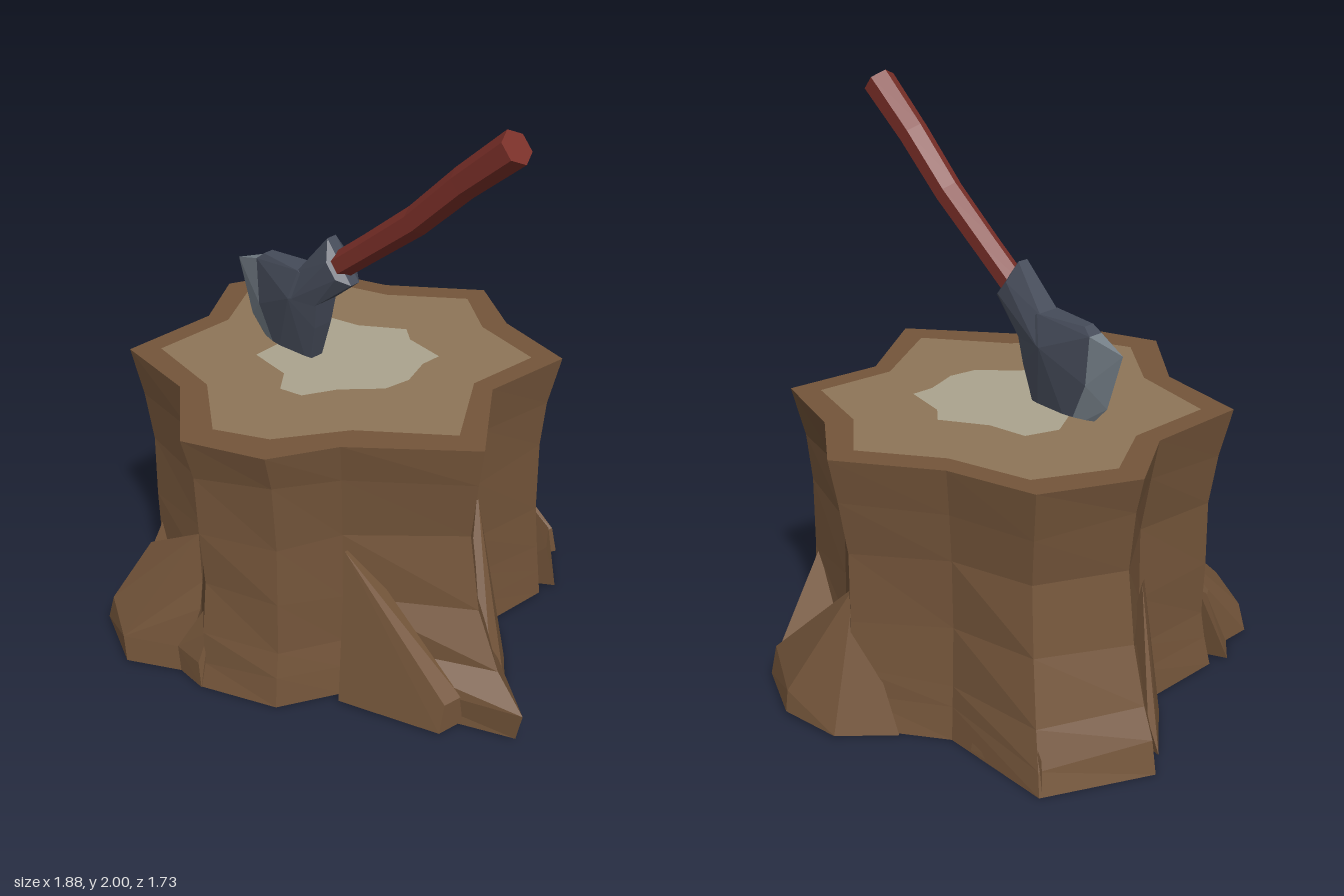
import * as THREE from 'three';
import { ConvexGeometry } from 'three/addons/geometries/ConvexGeometry.js';

const flat = (name, color) => {
  const m = new THREE.MeshStandardMaterial({ color, flatShading: true });
  m.name = name;
  return m;
};

// Closed skin over stacked rings of points, with optional fan caps
function loft(rings, capStart, capEnd) {
  const pos = [];
  const tri = (...pts) => pts.forEach((p) => pos.push(p.x, p.y, p.z));
  const n = rings[0].length;
  for (let j = 0; j < rings.length - 1; j++) {
    for (let k = 0; k < n; k++) {
      const m = (k + 1) % n;
      const [a, b, c, d] = [rings[j][k], rings[j][m], rings[j + 1][m], rings[j + 1][k]];
      tri(a, c, b);
      tri(a, d, c);
    }
  }
  const cap = (ring, flip) => {
    const mid = ring.reduce((s, p) => s.add(p), new THREE.Vector3()).divideScalar(n);
    ring.forEach((p, k) => {
      const q = ring[(k + 1) % n];
      flip ? tri(mid, q, p) : tri(mid, p, q);
    });
  };
  if (capStart) cap(rings[0], false);
  if (capEnd) cap(rings[rings.length - 1], true);
  const g = new THREE.BufferGeometry();
  g.setAttribute('position', new THREE.Float32BufferAttribute(pos, 3));
  g.computeVertexNormals();
  return g;
}

const hull = (pts) => new ConvexGeometry(pts.map((p) => new THREE.Vector3(...p)));
// Mirrors points [x, y, halfThickness] across the axe's own plane
const twoSided = (pts) => pts.flatMap(([x, y, z]) => (z ? [[x, y, z], [x, y, -z]] : [[x, y, 0]]));

// Outlines of the cut face as [x, z]
const RIM = [[-0.19, -0.75], [0.07, -0.63], [0.39, -0.6], [0.41, -0.26], [0.69, 0.02], [0.4, 0.36], [0.32, 0.59],
  [0.07, 0.74], [-0.23, 0.56], [-0.57, 0.56], [-0.63, 0.2], [-0.82, -0.01], [-0.73, -0.34], [-0.45, -0.48]];
const WOOD = [[-0.17, -0.65], [0.04, -0.54], [0.32, -0.52], [0.34, -0.24], [0.57, 0.02], [0.34, 0.27], [0.23, 0.51],
  [0.07, 0.62], [-0.19, 0.48], [-0.51, 0.47], [-0.56, 0.16], [-0.72, -0.03], [-0.64, -0.3], [-0.38, -0.43]];
const CORE = [[-0.11, -0.31], [-0.04, -0.27], [0.12, -0.27], [0.13, -0.19], [0.19, -0.08], [0.19, 0.02], [0.1, 0.15],
  [0.06, 0.27], [-0.02, 0.3], [-0.1, 0.23], [-0.27, 0.23], [-0.3, 0.09], [-0.39, -0.02], [-0.37, -0.14], [-0.24, -0.19]];

// Roots, each the hull of a few corners
const ROOTS = {
  frontRoot: [[-0.5, 0, 0.5], [-0.46, 0.01, 0.79], [-0.2, 0.01, 0.86], [-0.05, 0, 0.73], [-0.43, 0.11, 0.78], [-0.21, 0.11, 0.86],
    [-0.06, 0.1, 0.73], [-0.47, 0.25, 0.59], [-0.02, 0.36, 0.64], [-0.22, 0.4, 0.53], [-0.01, 0.26, 0.66]],
  frontRootSide: [[-0.57, 0.01, 0.61], [-0.46, 0, 0.7], [-0.47, 0.24, 0.58], [-0.52, 0.3, 0.5], [-0.4, 0, 0.5]],
  frontToe: [[0, 0.26, 0.65], [0.07, 0.22, 0.68], [0.07, 0, 0.72], [-0.06, 0, 0.73], [-0.06, 0.1, 0.73], [0.06, 0.1, 0.72], [0, 0, 0.5]],
  leftFrontRoot: [[0.38, 0.58, 0.33], [0.36, 0.57, 0.27], [0.42, 0.01, 0.39], [0.54, 0.3, 0.27], [0.75, 0.12, 0.2],
    [0.75, 0.01, 0.22], [0.75, 0.12, 0.13], [0.75, 0.01, 0.12], [0.36, 0, 0.2]],
  leftBackRoot: [[0.41, 0.58, -0.22], [0.37, 0.55, -0.17], [0.43, 0.01, -0.31], [0.47, 0.01, -0.3], [0.58, 0.01, -0.22],
    [0.72, 0.01, -0.1], [0.67, 0.13, -0.07], [0.5, 0.35, -0.14], [0.36, 0, -0.1]],
  backRoot: [[-0.15, 0.5, -0.66], [-0.22, 0.01, -0.79], [-0.02, 0.02, -0.87], [-0.02, 0.1, -0.86], [0.09, 0.09, -0.83],
    [0.23, 0.01, -0.81], [0.22, 0.12, -0.79], [0.06, 0.28, -0.68], [0.1, 0, -0.5], [-0.32, 0, -0.6]],
  backRootSide: [[0.2, 0.01, -0.8], [0.21, 0.12, -0.78], [0.39, 0.01, -0.65], [0.38, 0.2, -0.6], [0.34, 0.38, -0.55], [0.1, 0.2, -0.6], [0.2, 0, -0.5]],
  rightFrontRoot: [[-0.66, 0.52, 0.13], [-0.62, 0.5, 0.17], [-0.7, 0.33, 0.14], [-0.68, 0.01, 0.21], [-0.6, 0.01, 0.24],
    [-0.88, 0.01, 0.05], [-0.83, 0.12, 0.04], [-0.6, 0, 0.05]],
  rightBackRoot: [[-0.84, 0.01, -0.38], [-0.82, 0.12, -0.37], [-0.53, 0.01, -0.45], [-0.53, 0.12, -0.43], [-0.6, 0.36, -0.36], [-0.5, 0, -0.3]],
};

function outline(points, hole) {
  const toShape = (list, Type) => new Type(list.map(([x, z]) => new THREE.Vector2(x, -z)));
  const shape = toShape(points, THREE.Shape);
  if (hole) shape.holes.push(toShape(hole, THREE.Path));
  return new THREE.ShapeGeometry(shape).rotateX(-Math.PI / 2).translate(0, 1, 0);
}

function trunkRings() {
  let seed = 7;
  const jitter = () => ((seed = (seed * 16807) % 2147483647) / 2147483647 - 0.5) * 0.025;
  const levels = [0, 0.1, 0.22, 0.4, 0.64, 0.85, 1];
  const plain = [0.97, 0.95, 0.93, 0.92, 0.92, 0.95, 1];
  const flared = { 4: [1.32, 1.36, 1.17, 1.01, 0.93, 0.97, 1], 11: [1.15, 1.12, 1.06, 0.98, 0.93, 0.96, 1] };
  flared[12] = flared[11];
  return levels.map((y, j) => RIM.map(([x, z], k) => {
    const edge = j === 0 || j === 6;
    const s = (flared[k] || plain)[j] + (edge || flared[k] ? 0 : jitter());
    return new THREE.Vector3(x * s, y + (edge ? 0 : jitter() * 2), z * s);
  }));
}

function handleRings() {
  const path = [[-0.09, 1.33], [0.1, 1.475], [0.3, 1.63], [0.48, 1.8], [0.665, 1.955]];
  const radii = [0.047, 0.047, 0.05, 0.053, 0.058];
  return path.map(([x, y], j) => {
    const [a, b] = [path[Math.max(j - 1, 0)], path[Math.min(j + 1, path.length - 1)]];
    const t = Math.atan2(b[1] - a[1], b[0] - a[0]);
    return Array.from({ length: 6 }, (_, k) => {
      const ang = (k + 0.5) * Math.PI / 3;
      const up = Math.sin(ang) * radii[j];
      return new THREE.Vector3(x - Math.sin(t) * up, y + Math.cos(t) * up, Math.cos(ang) * radii[j]);
    });
  });
}

export function createModel() {
  const bark = flat('bark', 0x74553a);
  const wood = flat('cut wood', 0x8e7658);
  const core = flat('heartwood', 0xaca48e);
  const steel = flat('dark steel', 0x454b59);
  const edge = flat('sharpened steel', 0x757f88);
  const red = flat('red handle', 0x7c3029);

  const model = new THREE.Group();
  const add = (parent, name, geometry, material) => {
    const mesh = new THREE.Mesh(geometry, material);
    mesh.name = name;
    parent.add(mesh);
  };

  // Stump
  const stump = new THREE.Group();
  stump.name = 'stump';
  model.add(stump);
  add(stump, 'trunk', loft(trunkRings(), true, false), bark);
  add(stump, 'barkRim', outline(RIM, WOOD), bark);
  add(stump, 'cutFace', outline(WOOD, CORE), wood);
  add(stump, 'heartwood', outline(CORE), core);
  for (const [name, pts] of Object.entries(ROOTS)) add(stump, name, hull(pts), bark);

  // Axe, modelled in its own xy plane and turned slightly
  const axe = new THREE.Group();
  axe.name = 'axe';
  axe.position.z = 0.04;
  axe.rotation.y = 0.18;
  model.add(axe);
  add(axe, 'handle', loft(handleRings(), true, true), red);
  const bevel = [[-0.4, 1.3, 0.028], [-0.39, 1.13, 0.032], [-0.31, 0.95, 0.025]];
  add(axe, 'bladeEdge', hull(twoSided([[-0.52, 1.26, 0], [-0.46, 1.06, 0], [-0.36, 0.95, 0], ...bevel])), edge);
  add(axe, 'blade', hull(twoSided([...bevel, [-0.37, 1.325, 0.02], [-0.18, 1.325, 0.045], [-0.21, 1.22, 0.068],
    [-0.09, 1.25, 0.05], [-0.11, 1.13, 0.04], [-0.14, 1, 0.025], [-0.16, 0.94, 0.02]])), steel);
  add(axe, 'collar', hull(twoSided([[-0.19, 1.32, 0.04], [-0.2, 1.22, 0.066], [-0.1, 1.22, 0.05],
    [-0.065, 1.47, 0.02], [-0.04, 1.4, 0.053], [0, 1.35, 0.053], [0.04, 1.33, 0.02]])), steel);
  return model;
}
